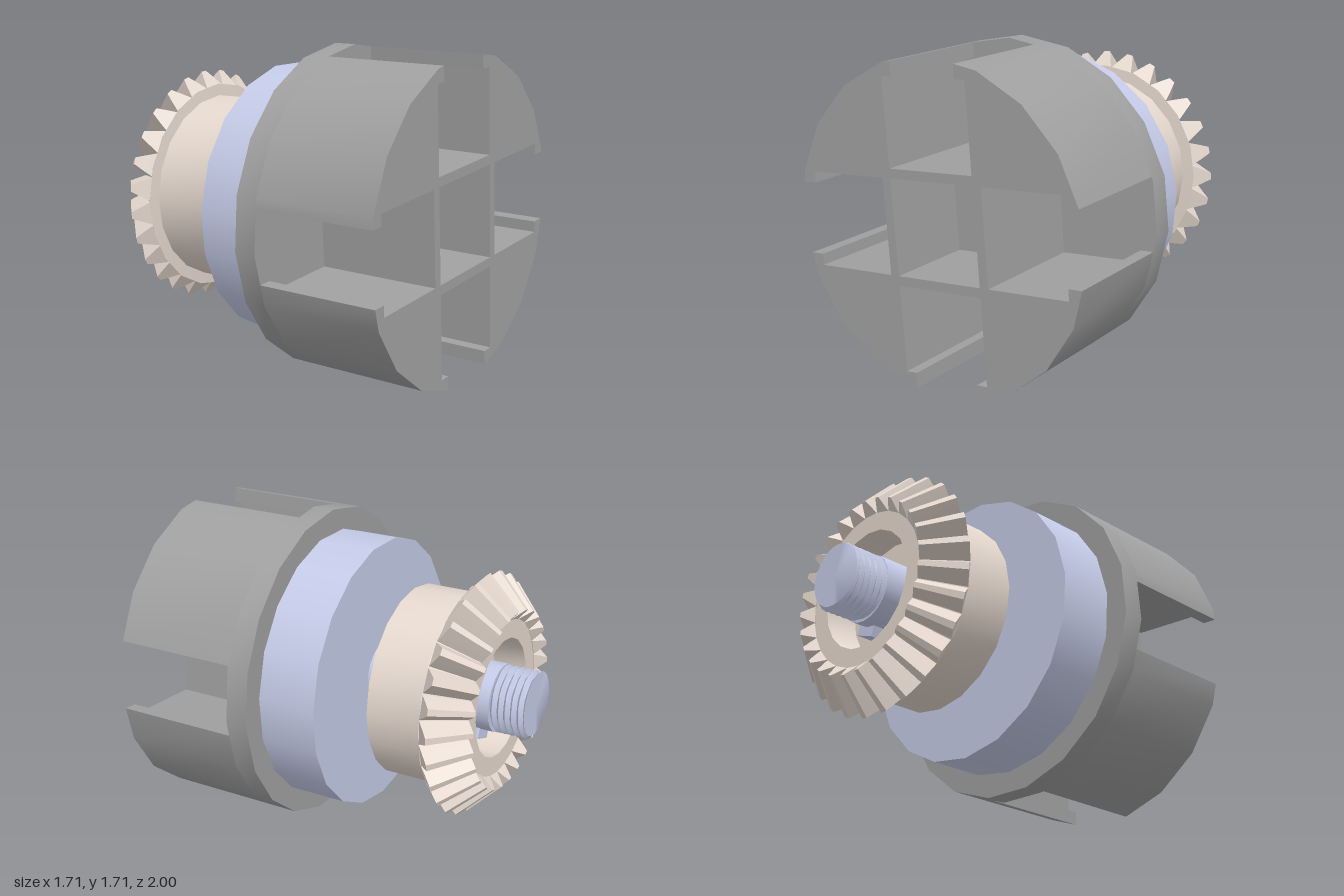
import * as THREE from 'three';
import { toCreasedNormals } from 'three/addons/utils/BufferGeometryUtils.js';

const CREASE = 0.6;
const RIM = 0.86, SIDES = 19, PHASE = THREE.MathUtils.degToRad(91.3);
const TILT = THREE.MathUtils.degToRad(4);
const STEP = (Math.PI * 2) / SIDES;

// Radius of the many-sided rim at a given angle
function rimRadius(a) {
  const d = (((a - PHASE) % STEP) + STEP) % STEP;
  return (RIM * Math.cos(STEP / 2)) / Math.cos(d - STEP / 2);
}

const polar = (a, r) => new THREE.Vector2(Math.cos(a) * r, Math.sin(a) * r);

function rimShape() {
  const pts = [];
  for (let i = 0; i < SIDES; i++) pts.push(polar(PHASE + i * STEP, RIM));
  return new THREE.Shape(pts);
}

// Rim outline with four lipped slots and a square centre hole
function slottedShape() {
  const pts = [];
  const lip = Math.asin(0.19 / 0.85);
  for (let k = 0; k < 4; k++) {
    const a = TILT + (k * Math.PI) / 2;
    const local = (w, r) =>
      new THREE.Vector2(r * Math.cos(a) - w * Math.sin(a), r * Math.sin(a) + w * Math.cos(a));
    pts.push(polar(a - lip, rimRadius(a - lip)));
    for (const [w, r] of [[-0.19, 0.755], [-0.25, 0.755], [-0.25, 0.3],
      [0.25, 0.3], [0.25, 0.755], [0.19, 0.755]]) pts.push(local(w, r));
    pts.push(polar(a + lip, rimRadius(a + lip)));
    // rim corners up to the next slot
    const end = a + Math.PI / 2 - lip - 0.01;
    let v = PHASE + Math.ceil((a + lip + 0.01 - PHASE) / STEP) * STEP;
    for (; v < end; v += STEP) pts.push(polar(v, RIM));
  }
  const shape = new THREE.Shape(pts);
  const hole = [];
  for (let k = 0; k < 4; k++) hole.push(polar(TILT + Math.PI / 4 - (k * Math.PI) / 2, 0.25 * Math.SQRT2));
  shape.holes.push(new THREE.Path(hole));
  return shape;
}

function extrudeZ(shape, z0, z1) {
  const g = new THREE.ExtrudeGeometry(shape, { depth: z1 - z0, bevelEnabled: false });
  g.translate(0, 0, z0);
  return toCreasedNormals(g, CREASE);
}

// Cylinder along z from z0 to z1
function rodZ(r, z0, z1, sides) {
  const g = new THREE.CylinderGeometry(r, r, z1 - z0, sides);
  g.rotateX(Math.PI / 2);
  g.translate(0, 0, (z0 + z1) / 2);
  return g;
}

// Helical thread: cylinder whose radius follows a triangular wave
function threadGeometry(z0, z1) {
  const pitch = 0.036;
  const g = new THREE.CylinderGeometry(0.18, 0.18, z1 - z0, 24, 44);
  const p = g.attributes.position;
  for (let i = 0; i < p.count; i++) {
    const x = p.getX(i), z = p.getZ(i);
    if (Math.hypot(x, z) < 0.01) continue;
    const a = Math.atan2(z, x);
    const t = p.getY(i) / pitch + a / (Math.PI * 2) + 100;
    const wave = Math.abs((t % 1) * 2 - 1);
    const r = 0.155 + 0.027 * wave;
    p.setX(i, Math.cos(a) * r);
    p.setZ(i, Math.sin(a) * r);
  }
  g.rotateX(Math.PI / 2);
  g.translate(0, 0, (z0 + z1) / 2);
  return toCreasedNormals(g, CREASE);
}

// Bevel tooth: one section shrunk towards the cone apex
function toothGeometry() {
  const apex = -1.338, scale = 0.73;
  const section = [[-0.064, 0], [-0.042, 0.5], [-0.018, 1], [0.018, 1], [0.042, 0.5], [0.064, 0]];
  const pos = [], idx = [], n = section.length;
  for (const s of [1, scale]) {
    for (const [w, h] of section) {
      const r = 0.57 + 0.08 * h, z = -0.615 - 0.075 * h;
      pos.push(r * s, w * s, apex + (z - apex) * s);
    }
  }
  for (let i = 0; i < n; i++) {
    const j = (i + 1) % n;
    idx.push(i, n + i, n + j, i, n + j, j);
    if (i > 0 && i < n - 1) idx.push(0, i, i + 1, n, n + i + 1, n + i);
  }
  const g = new THREE.BufferGeometry();
  g.setAttribute('position', new THREE.Float32BufferAttribute(pos, 3));
  g.setIndex(idx);
  return toCreasedNormals(g, 0.4);
}

export function createModel() {
  const grey = new THREE.MeshStandardMaterial({ color: 0xa0a0a0 });
  grey.name = 'grey';
  const blue = new THREE.MeshStandardMaterial({ color: 0xcad1ee });
  blue.name = 'paleBlue';
  const beige = new THREE.MeshStandardMaterial({ color: 0xe5d8ce });
  beige.name = 'beige';

  const model = new THREE.Group();
  model.name = 'gearedHub';
  model.position.y = 0.855;
  const add = (name, geometry, material, parent = model) => {
    const m = new THREE.Mesh(geometry, material);
    m.name = name;
    parent.add(m);
    return m;
  };

  // Slotted holder
  add('holderBase', extrudeZ(rimShape(), 0.21, 0.33), grey);
  add('holderBody', extrudeZ(slottedShape(), 0.33, 1), grey);
  const floor = add('centrePocketFloor', new THREE.BoxGeometry(0.52, 0.52, 0.17), grey);
  floor.position.z = 0.415;
  floor.rotation.z = TILT;

  // Flange, shaft, key and thread
  add('flange', rodZ(0.737, -0.11, 0.21, SIDES), blue);
  add('shaft', rodZ(0.183, -0.81, -0.1, 20), blue);
  add('thread', threadGeometry(-1, -0.8), blue);
  const keyAngle = THREE.MathUtils.degToRad(-70);
  const key = add('shaftKey', new THREE.BoxGeometry(0.13, 0.12, 0.64), blue);
  key.position.set(Math.cos(keyAngle) * 0.165, Math.sin(keyAngle) * 0.165, -0.42);
  key.rotation.z = keyAngle;

  // Bevel gear: hollow body and ring of teeth
  const gear = new THREE.Group();
  gear.name = 'bevelGear';
  model.add(gear);
  const profile = [[0.17, -0.62], [0.32, -0.62], [0.32, -0.805], [0.425, -0.805], [0.58, -0.615],
    [0.515, -0.61], [0.515, -0.29], [0.17, -0.29]].map(([r, z]) => new THREE.Vector2(r, z));
  const body = new THREE.LatheGeometry(profile, 20);
  body.rotateX(Math.PI / 2);
  add('gearBody', toCreasedNormals(body, CREASE), beige, gear);
  const tooth = toothGeometry();
  const count = 27;
  for (let i = 0; i < count; i++) {
    add('gearTooth', tooth, beige, gear).rotation.z = (i / count) * Math.PI * 2;
  }

  const root = new THREE.Group();
  root.name = 'model';
  root.add(model);
  return root;
}
